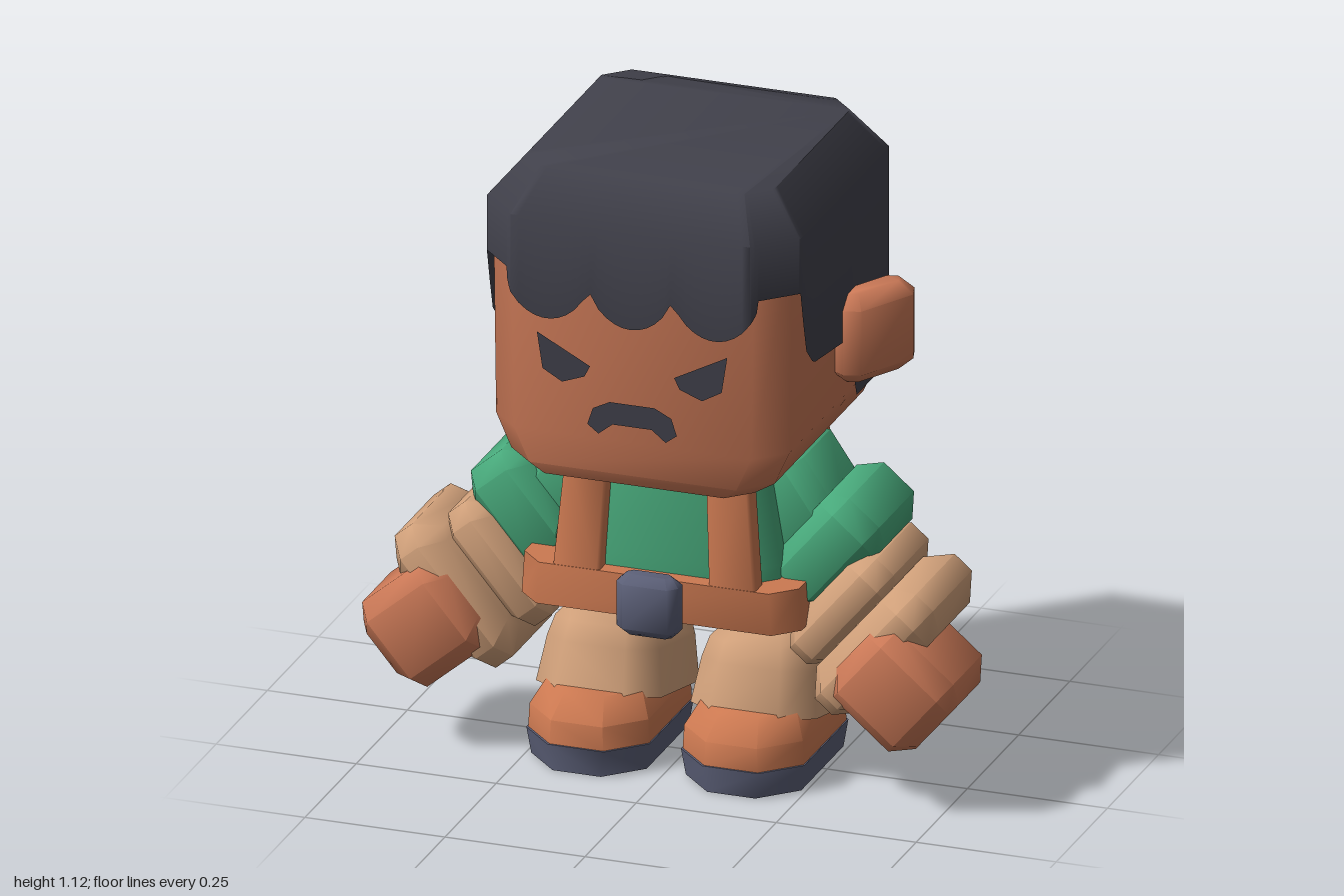
import * as THREE from 'three';
import { toCreasedNormals } from 'three/addons/utils/BufferGeometryUtils.js';

const material = (name, color, side = THREE.FrontSide) => {
  const m = new THREE.MeshStandardMaterial({ color, side });
  m.name = name;
  return m;
};

// Eight-sided ring: a rectangle with cut corners, at height y
function ring(y, hw, hd, c, cx = 0, cz = 0) {
  const p = [[hw, -hd + c], [hw, hd - c], [hw - c, hd], [-hw + c, hd],
    [-hw, hd - c], [-hw, -hd + c], [-hw + c, -hd], [hw - c, -hd]];
  return p.map(([x, z]) => [x + cx, y, z + cz]);
}

// Split each edge of a ring into n pieces
function subdivide(points, n) {
  return points.flatMap((a, i) => {
    const b = points[(i + 1) % points.length];
    return Array.from({ length: n }, (_, k) => a.map((v, j) => v + (b[j] - v) * k / n));
  });
}

// Skin a stack of rings from bottom to top
function loft(rings, closedBottom = true, crease = 0.9) {
  const n = rings[0].length, index = [];
  for (let r = 0; r < rings.length - 1; r++) {
    for (let i = 0; i < n; i++) {
      const a = r * n + i, b = r * n + (i + 1) % n;
      index.push(a, a + n, b, b, a + n, b + n);
    }
  }
  const top = (rings.length - 1) * n;
  for (let i = 1; i < n - 1; i++) {
    index.push(top, top + i + 1, top + i);
    if (closedBottom) index.push(0, i, i + 1);
  }
  const g = new THREE.BufferGeometry();
  g.setAttribute('position', new THREE.Float32BufferAttribute(rings.flat(2), 3));
  g.setIndex(index);
  return toCreasedNormals(g, crease);
}

// Box with every edge bevelled
function bevelBox(w, h, d, b) {
  const x = w / 2, y = h / 2, z = d / 2;
  return loft([ring(-y, x - b, z - b, b * 0.6), ring(-y + b, x, z, b),
    ring(y - b, x, z, b), ring(y, x - b, z - b, b * 0.6)]);
}

// Lower edge of the hair: scalloped fringe, side cut, long back
function hairEdge(x, z) {
  if (z > 0.27) return 0.945 - 0.075 * Math.sqrt(Math.abs(Math.sin(Math.PI * (x - 0.075) / 0.15)));
  const cut = [[0.21, 0.95], [0.19, 0.84], [0.15, 0.8], [0, 0.78], [-0.04, 0.78], [-0.05, 0.66]];
  if (z >= cut[0][0]) return cut[0][1];
  for (let i = 1; i < cut.length; i++) {
    const [z0, y0] = cut[i - 1], [z1, y1] = cut[i];
    if (z >= z1) return y0 + (y1 - y0) * (z0 - z) / (z0 - z1);
  }
  return 0.66;
}

export function createModel() {
  const skin = material('skin', 0xcb7957);
  const leather = material('leather', 0xcc7951);
  const shirt = material('green shirt', 0x48a97b);
  const cloth = material('tan cloth', 0xd0a07a);
  const hairMat = material('dark hair', 0x40404a, THREE.DoubleSide);
  const metal = material('slate', 0x5c6078);
  const model = new THREE.Group();
  model.name = 'character';

  const add = (parent, name, geometry, mat, pos = [0, 0, 0], rot = [0, 0, 0]) => {
    const m = new THREE.Mesh(geometry, mat);
    m.name = name;
    m.position.set(...pos);
    m.rotation.set(...rot);
    parent.add(m);
    return m;
  };
  const shape = (pts) => new THREE.ShapeGeometry(new THREE.Shape(pts.map((p) => new THREE.Vector2(...p))));

  // Head, narrowing in width at the jaw
  add(model, 'head', loft([ring(0.58, 0.2, 0.26, 0.04), ring(0.6, 0.235, 0.267, 0.05),
    ring(0.66, 0.262, 0.267, 0.05), ring(1.04, 0.267, 0.267, 0.05)]), skin);

  // Hair cap
  const rim = subdivide(ring(0, 0.28, 0.282, 0.066, 0, -0.003), 30);
  const lower = rim.map(([x, , z]) => [x, hairEdge(x, z), z]);
  const upper = rim.map(([x, , z]) => [x, 1.05, z]);
  const crown = subdivide(ring(1.12, 0.222, 0.224, 0.04, 0, -0.003), 30);
  add(model, 'hair', loft([lower, upper, crown], false), hairMat);

  // Face
  add(model, 'mouth', shape([[-0.08, 0.685], [-0.07, 0.715], [-0.04, 0.73], [0.04, 0.73], [0.07, 0.715],
    [0.08, 0.685], [0.06, 0.67], [0.035, 0.69], [-0.035, 0.69], [-0.06, 0.67]]), hairMat, [0, 0, 0.27]);

  // Torso, belt and buckle
  add(model, 'torso', loft([ring(0.34, 0.2, 0.18, 0.04, 0, -0.045), ring(0.4, 0.2, 0.18, 0.04, 0, -0.045),
    ring(0.58, 0.17, 0.17, 0.04, 0, -0.045)]), shirt);
  add(model, 'belt', loft([ring(0.3, 0.25, 0.215, 0.04, 0, -0.05),
    ring(0.375, 0.245, 0.215, 0.04, 0, -0.05)]), leather);
  add(model, 'buckle', bevelBox(0.11, 0.11, 0.05, 0.015), metal, [0, 0.335, 0.185]);

  for (const s of [1, -1]) {
    const side = new THREE.Group();
    side.name = s > 0 ? 'leftSide' : 'rightSide';
    side.scale.x = s;
    model.add(side);

    // Eye and ear
    add(side, 'eye', shape([[0.17, 0.84], [0.075, 0.79], [0.085, 0.77], [0.125, 0.755], [0.16, 0.775]]),
      hairMat, [0, 0, 0.27]);
    add(side, 'ear', bevelBox(0.075, 0.16, 0.16, 0.022), skin, [0.305, 0.78, -0.07], [0, -0.5, 0]);

    // Shoulder straps, front and back
    add(side, 'frontStrap', loft([ring(0.36, 0.042, 0.02, 0.005, 0.14, 0.145),
      ring(0.58, 0.038, 0.02, 0.005, 0.125, 0.132)]), leather);
    add(side, 'backStrap', loft([ring(0.36, 0.042, 0.025, 0.005, 0.14, -0.24),
      ring(0.58, 0.038, 0.025, 0.005, 0.125, -0.205)]), leather);
    add(side, 'sideClip', bevelBox(0.03, 0.11, 0.08, 0.01), metal, [0.25, 0.345, -0.03]);

    // Arm, pointing outward and down
    const arm = [0, 0, 0.87];
    add(side, 'shoulder', bevelBox(0.17, 0.2, 0.19, 0.03), shirt, [0.19, 0.47, -0.03], [0, 0, 0.6]);
    add(side, 'sleeve', bevelBox(0.21, 0.13, 0.23, 0.03), shirt, [0.27, 0.42, -0.025], arm);
    add(side, 'innerCuff', bevelBox(0.24, 0.1, 0.23, 0.03), cloth, [0.305, 0.325, -0.005], arm);
    add(side, 'outerCuff', bevelBox(0.28, 0.11, 0.26, 0.035), cloth, [0.375, 0.27, 0.02], arm);
    add(side, 'hand', bevelBox(0.18, 0.19, 0.2, 0.03), skin, [0.42, 0.222, 0.075], arm);

    // Leg with a rolled cuff that dips at the heel
    add(side, 'leg', loft([ring(0.1, 0.07, 0.09, 0.03, 0.138, -0.075),
      ring(0.31, 0.068, 0.09, 0.03, 0.138, -0.075)]), cloth);
    add(side, 'trouserCuff', loft([ring(-0.06, 0.112, 0.145, 0.05), ring(0.02, 0.1, 0.135, 0.045),
      ring(0.055, 0.09, 0.125, 0.04), ring(0.08, 0.07, 0.1, 0.03)]), cloth, [0.138, 0.15, -0.05], [-0.22, 0, 0]);

    // Boot and sole
    add(side, 'boot', loft([ring(0.045, 0.108, 0.165, 0.06, 0.138), ring(0.09, 0.106, 0.163, 0.06, 0.138),
      ring(0.13, 0.085, 0.135, 0.05, 0.138, -0.01)]), leather);
    add(side, 'sole', loft([ring(0, 0.103, 0.163, 0.06, 0.138),
      ring(0.048, 0.11, 0.168, 0.06, 0.138)]), metal);
  }
  return model;
}
